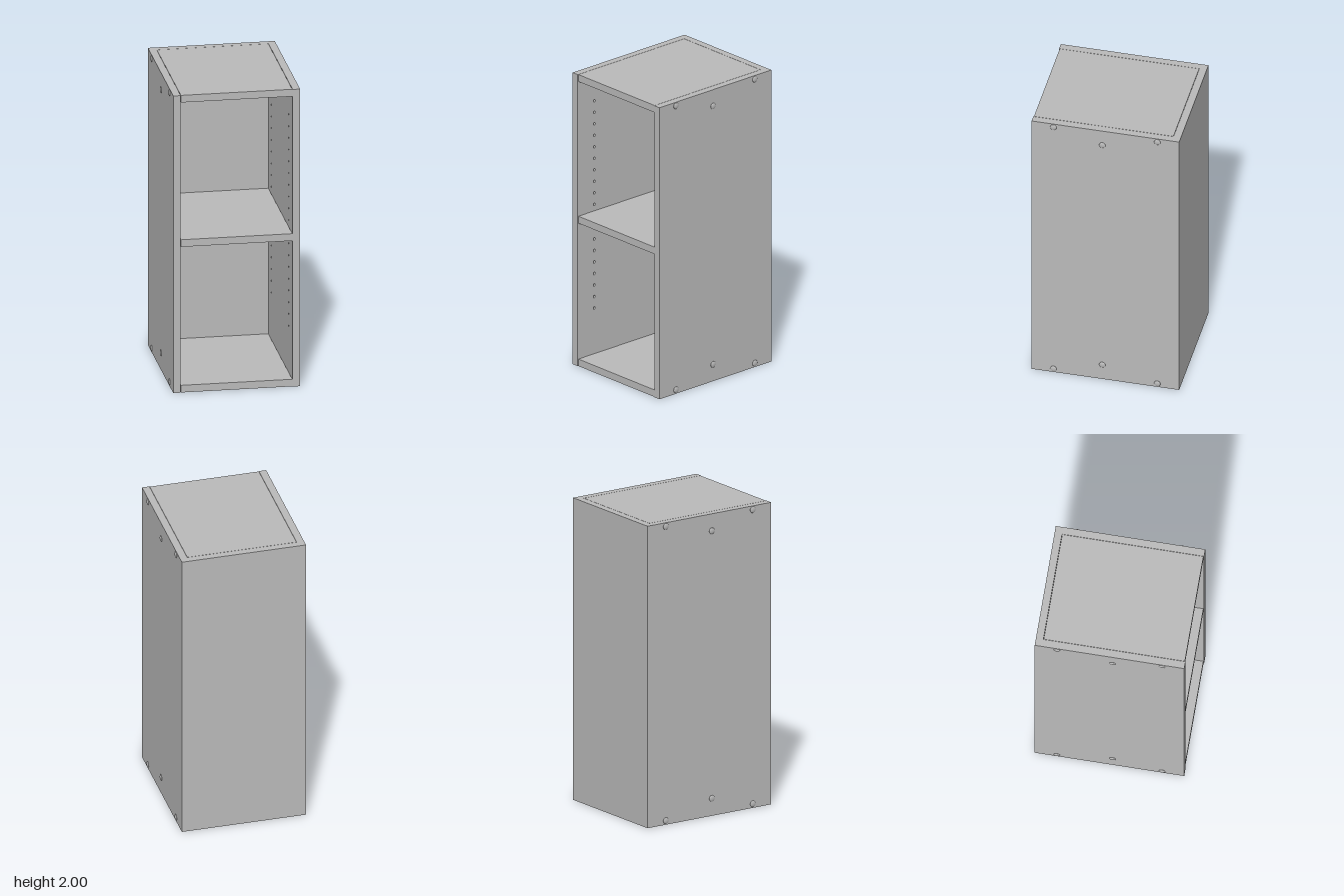
import * as THREE from 'three';

export function createModel() {
  const grey = new THREE.MeshStandardMaterial({ color: 0xbababa });
  grey.name = 'cabinet grey';
  const model = new THREE.Group();
  model.name = 'openCabinet';

  const W = 0.41, D = 0.483, H = 2, T = 0.048; // half width, half depth, height, board thickness
  const inner = W - T;

  const add = (name, geometry, x, y, z, parent = model) => {
    const mesh = new THREE.Mesh(geometry, grey);
    mesh.name = name;
    mesh.position.set(x, y, z);
    parent.add(mesh);
    return mesh;
  };
  const board = (name, w, h, d, x, y, z) => add(name, new THREE.BoxGeometry(w, h, d), x, y, z);

  // Back and horizontal boards, with a hairline gap beside the frame
  board('backPanel', 2 * inner, H, T, 0, H / 2, -D + T / 2);
  const gap = 0.002, front = D - 0.004, rear = -D + T + gap;
  const boardWidth = 2 * (inner - gap), boardDepth = front - rear, boardZ = (front + rear) / 2;
  board('topBoard', boardWidth, T, boardDepth, 0, H - T / 2, boardZ);
  board('middleShelf', boardWidth, T, boardDepth, 0, 1.004, boardZ);
  board('bottomBoard', boardWidth, T, boardDepth, 0, T / 2, boardZ);

  // Side lining with two columns of shelf-pin holes
  const holeDepth = 0.03;
  const lining = new THREE.Shape();
  lining.moveTo(-D, 0).lineTo(D, 0).lineTo(D, H).lineTo(-D, H).closePath();
  for (const z of [-0.34, 0.34]) {
    for (let i = 0; i < 19; i++) {
      const hole = new THREE.Path();
      hole.absarc(z, 0.36 + i * 0.079, 0.009, 0, Math.PI * 2, true);
      lining.holes.push(hole);
    }
  }
  const liningGeometry = new THREE.ExtrudeGeometry(lining, { depth: holeDepth, bevelEnabled: false, curveSegments: 6 });
  liningGeometry.rotateY(Math.PI / 2);

  // Domed screw heads, as (height, depth)
  const screws = [[1.975, 0.34], [1.975, -0.34], [1.887, 0.02], [0.115, 0.02], [0.027, 0.34], [0.027, -0.34]];
  const dome = new THREE.SphereGeometry(0.021, 16, 6, 0, Math.PI * 2, 0, Math.PI / 2);
  dome.scale(1, 0.35, 1);

  for (const side of [1, -1]) {
    const panel = new THREE.Group();
    panel.name = side > 0 ? 'leftSide' : 'rightSide';
    model.add(panel);
    add('pinHoleLining', liningGeometry, side > 0 ? inner : -inner - holeDepth, 0, 0, panel);
    const skin = T - holeDepth;
    add('outerBoard', new THREE.BoxGeometry(skin, H, 2 * D), side * (W - skin / 2), H / 2, 0, panel);
    for (const [y, z] of screws) {
      add('screwHead', dome, side * W, y, z, panel).rotation.z = -side * Math.PI / 2;
    }
  }
  return model;
}
